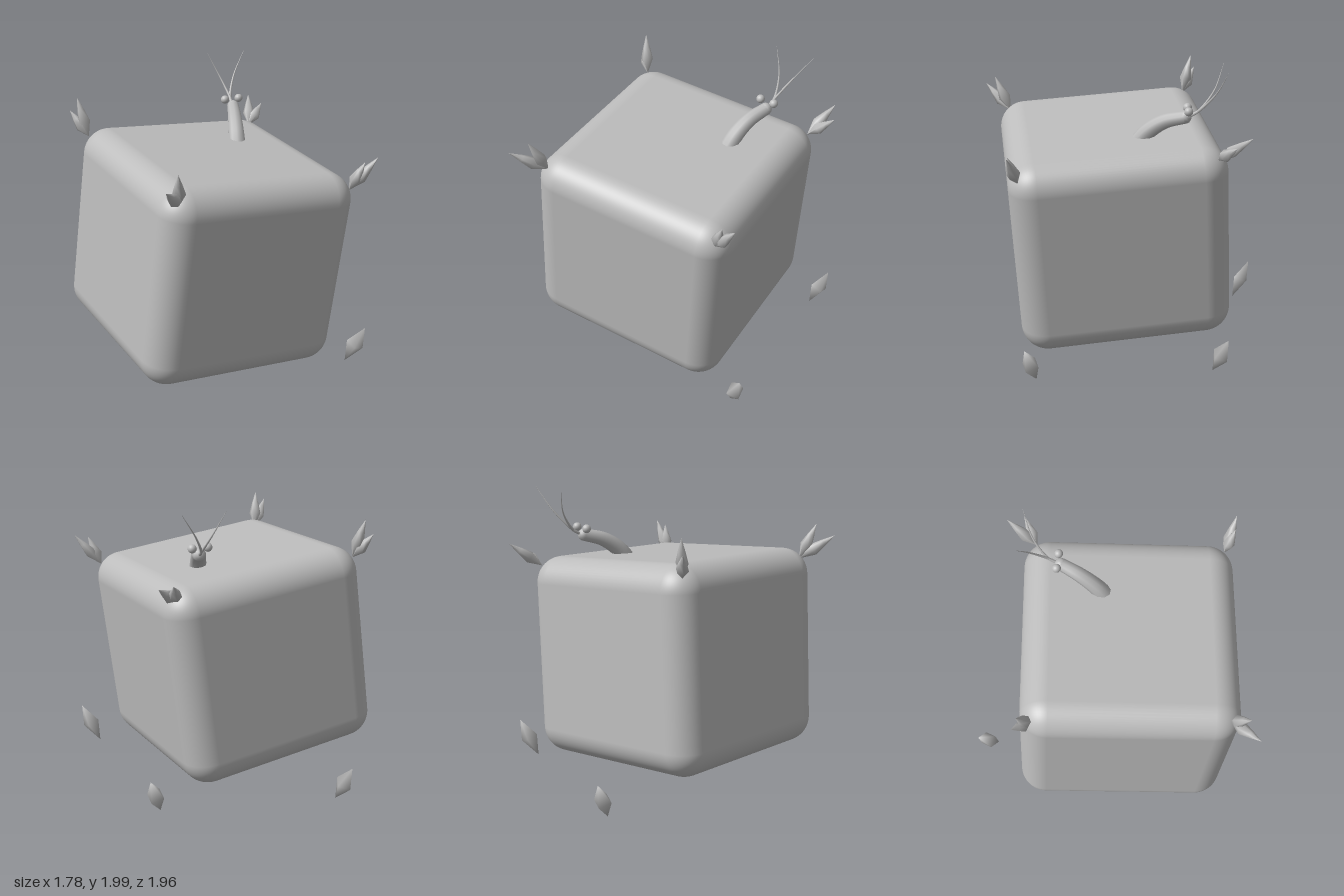
import * as THREE from 'three';
import { RoundedBoxGeometry } from 'three/addons/geometries/RoundedBoxGeometry.js';

const V = (x, y, z) => new THREE.Vector3(x, y, z);
const UP = V(0, 1, 0);

export function createModel() {
  const model = new THREE.Group();
  const grey = new THREE.MeshStandardMaterial({ color: 0xbcbcbc });
  grey.name = 'stone grey';

  const add = (name, geometry, parent = model) => {
    const mesh = new THREE.Mesh(geometry, grey);
    mesh.name = name;
    parent.add(mesh);
    return mesh;
  };

  // Tube along a smooth curve whose radius shrinks from r0 to r1
  const taperedTube = (points, r0, r1, sides, steps) => {
    const curve = new THREE.CatmullRomCurve3(points);
    const geo = new THREE.TubeGeometry(curve, steps, 1, sides);
    const pos = geo.attributes.position;
    const p = V(0, 0, 0);
    for (let i = 0; i <= steps; i++) {
      const t = i / steps, c = curve.getPointAt(t);
      for (let j = 0; j <= sides; j++) {
        const k = i * (sides + 1) + j;
        p.fromBufferAttribute(pos, k).sub(c).multiplyScalar(r0 + (r1 - r0) * t).add(c);
        pos.setXYZ(k, p.x, p.y, p.z);
      }
    }
    return geo;
  };

  // Tilted, soft-edged cube body
  const ax = V(1, -0.1, -0.12).normalize();
  const ay = V(0.1, 1, 0.05);
  const az = ax.clone().cross(ay).normalize();
  ay.crossVectors(az, ax);
  const body = new RoundedBoxGeometry(1.42, 1.37, 1.43, 7, 0.18);
  body.applyMatrix4(new THREE.Matrix4().makeBasis(ax, ay, az).setPosition(-0.067, 0.845, 0.06));
  add('body', body);

  // Pair of pointed leaves on each top corner
  const tufts = [
    ['backRightTuft', V(-0.72, 1.55, -0.47), V(-0.775, 1.815, -0.53), V(-0.82, 1.72, -0.56)],
    ['frontRightTuft', V(-0.54, 1.47, 0.79), V(-0.59, 1.705, 0.9), V(-0.695, 1.63, 0.975)],
    ['backLeftTuft', V(0.56, 1.44, -0.61), V(0.645, 1.605, -0.815), V(0.705, 1.56, -0.71)],
    ['frontLeftTuft', V(0.7, 1.34, 0.66), V(0.875, 1.555, 0.71), V(0.78, 1.535, 0.71)],
  ];
  for (const [name, base, ...tips] of tufts) {
    const tuft = new THREE.Group();
    tuft.name = name;
    model.add(tuft);
    for (const tip of tips) {
      const dir = tip.clone().sub(base);
      const len = dir.length();
      const profile = [[0.001, 0], [0.042, 0.38], [0.024, 0.68], [0.0005, 1]]
        .map(([r, t]) => new THREE.Vector2(r, t * len));
      const leaf = add('leaf', new THREE.LatheGeometry(profile, 6), tuft);
      leaf.position.copy(base);
      leaf.quaternion.setFromUnitVectors(UP, dir.normalize());
    }
  }

  // Bent neck with a rounded head end
  add('neck', taperedTube([V(0.235, 1.43, -0.09), V(0.26, 1.54, -0.17),
    V(0.295, 1.62, -0.28), V(0.34, 1.66, -0.41)], 0.062, 0.042, 10, 16));
  const head = add('head', new THREE.SphereGeometry(0.042, 12, 8));
  head.position.set(0.34, 1.66, -0.41);

  // Eyes and curved feelers, one of each per side
  for (const [side, eyeX, midX, tipX] of [['right', 0.285, 0.318, 0.248], ['left', 0.39, 0.425, 0.535]]) {
    const eye = add(side + 'Eye', new THREE.SphereGeometry(0.029, 16, 12));
    eye.position.set(eyeX, 1.71, -0.428);
    add(side + 'Feeler', taperedTube([V(0.345, 1.67, -0.44), V(0.352, 1.7, -0.49),
      V(midX, 1.83, -0.595), V(tipX, 1.995, -0.66)], 0.011, 0.001, 6, 16));
  }

  // Floating diamond feet that lean outward
  const feet = [
    ['backRightFoot', V(-0.485, 0.135, -0.925), -0.028, -0.06],
    ['backLeftFoot', V(0.735, 0.135, -0.645), 0.045, -0.045],
    ['frontLeftFoot', V(0.842, 0.135, 0.605), 0.056, 0.033],
  ];
  for (const [name, centre, dx, dz] of feet) {
    const axis = V(dx, 0.133, dz);
    const side = V(dz, 0, -dx).normalize();
    const out = side.clone().cross(axis).normalize();
    const gem = new THREE.SphereGeometry(1, 4, 2);
    gem.applyMatrix4(new THREE.Matrix4().makeBasis(
      side.multiplyScalar(0.062), axis, out.multiplyScalar(0.062)));
    add(name, gem).position.copy(centre);
  }

  return model;
}
